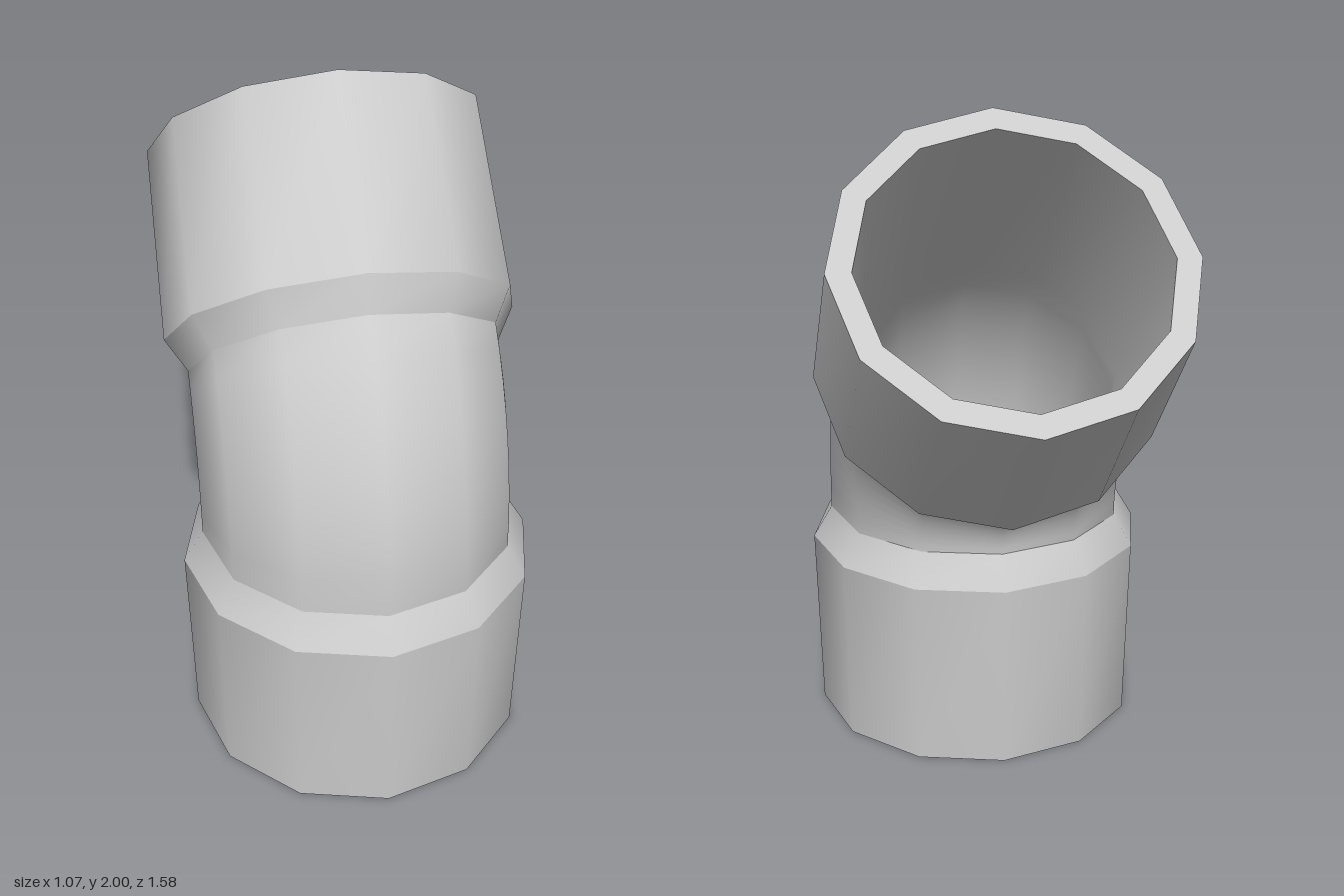
import * as THREE from 'three';

const SIDES = 12;
const BEND_R = 0.645;          // centreline radius of the bend
const PIVOT_Z = -0.39, PIVOT_Y = 0.69;
const BEND = Math.PI / 4;
const BEND_STEPS = 8;

// Ring across the pipe: bend angle a, straight offset s along the axis, radius r
function ring(a, s, r) {
  const c = Math.cos(a), n = Math.sin(a);
  const points = [];
  for (let i = 0; i < SIDES; i++) {
    const t = (i / SIDES) * Math.PI * 2;
    const d = BEND_R + r * Math.cos(t);
    points.push([r * Math.sin(t), PIVOT_Y + d * n + s * c, PIVOT_Z + d * c - s * n]);
  }
  return points;
}

// Smooth skin joining a run of rings; separate skins meet in sharp edges
function skin(name, rings, material) {
  const index = [];
  for (let k = 0; k < rings.length - 1; k++) {
    for (let i = 0; i < SIDES; i++) {
      const j = (i + 1) % SIDES;
      const a = k * SIDES + i, b = k * SIDES + j;
      index.push(a, b, b + SIDES, a, b + SIDES, a + SIDES);
    }
  }
  const geometry = new THREE.BufferGeometry();
  geometry.setAttribute('position', new THREE.Float32BufferAttribute(rings.flat(2), 3));
  geometry.setIndex(index);
  geometry.computeVertexNormals();
  const mesh = new THREE.Mesh(geometry, material);
  mesh.name = name;
  return mesh;
}

function bendRings(r) {
  return Array.from({ length: BEND_STEPS + 1 }, (_, i) => ring((BEND * i) / BEND_STEPS, 0, r));
}

export function createModel() {
  const group = new THREE.Group();
  group.name = 'pipeElbow';
  const material = new THREE.MeshStandardMaterial({ color: 0xcccccc });

  const pipe = 0.473, shoulder = 0.533, mouth = 0.52;  // outer radii
  const boreMouth = 0.447, bore = 0.415;               // inner radii
  const length = 0.69, flare = 0.1;

  // Curved middle and the bore running through the whole elbow
  group.add(skin('bend', bendRings(pipe), material));
  group.add(skin('bore', [
    ring(0, -length, boreMouth), ...bendRings(bore), ring(BEND, length, boreMouth),
  ].reverse(), material));

  // Matching socket, flare and rim at each end
  for (const [label, angle, dir] of [['lower', 0, -1], ['upper', BEND, 1]]) {
    const add = (part, from, to) => {
      const rings = [from, to].map(([s, r]) => ring(angle, dir * s, r));
      if (dir < 0) rings.reverse();
      group.add(skin(label + part, rings, material));
    };
    add('Flare', [0, pipe], [flare, shoulder]);
    add('Socket', [flare, shoulder], [length, mouth]);
    add('Rim', [length, mouth], [length, boreMouth]);
  }
  return group;
}
